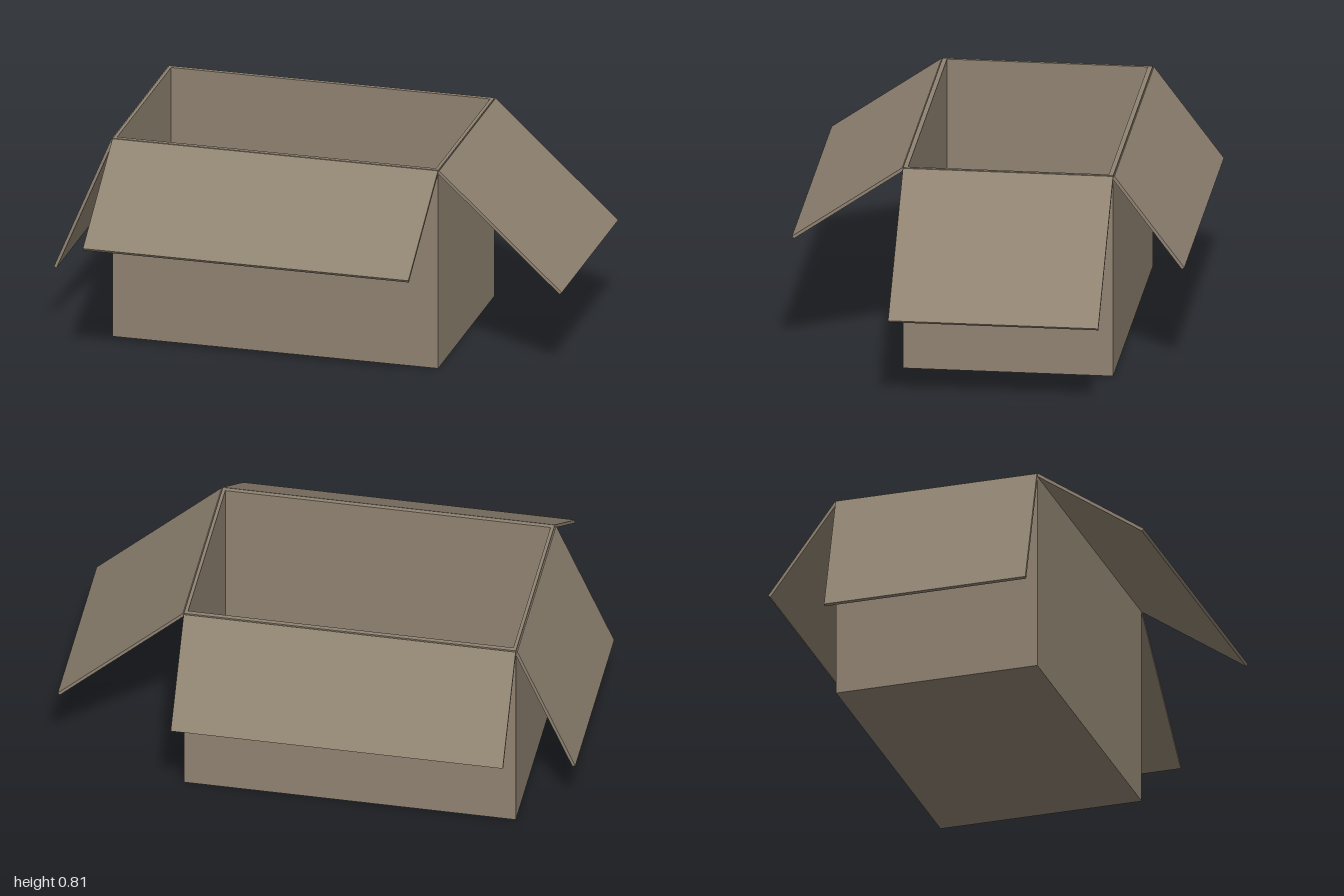
import * as THREE from 'three';

const LEFT = 0.51, RIGHT = -0.775, FRONT = 0.325, BACK = -0.48, HEIGHT = 0.807;
const WALL_X = 0.013, WALL_Z = 0.018, CARD = 0.012;

export function createModel() {
  const model = new THREE.Group();
  model.name = 'openCardboardBox';
  const card = new THREE.MeshStandardMaterial({ color: 0x8f8271 });
  const width = LEFT - RIGHT, depth = FRONT - BACK;
  const cx = (LEFT + RIGHT) / 2, cz = (FRONT + BACK) / 2;

  function add(name, geometry, x, y, z) {
    const mesh = new THREE.Mesh(geometry, card);
    mesh.name = name;
    mesh.position.set(x, y, z);
    model.add(mesh);
    return mesh;
  }

  // Four walls as one hollow sleeve
  const rect = (Type, w, d) => new Type([
    new THREE.Vector2(-w / 2, -d / 2), new THREE.Vector2(w / 2, -d / 2),
    new THREE.Vector2(w / 2, d / 2), new THREE.Vector2(-w / 2, d / 2),
  ]);
  const outline = rect(THREE.Shape, width, depth);
  outline.holes.push(rect(THREE.Path, width - 2 * WALL_X, depth - 2 * WALL_Z));
  const sleeve = new THREE.ExtrudeGeometry(outline, { depth: HEIGHT, bevelEnabled: false });
  sleeve.rotateX(-Math.PI / 2);
  add('walls', sleeve, cx, 0, cz);

  // Floor, fitted between the walls
  add('floor', new THREE.BoxGeometry(width - 2 * WALL_X, CARD, depth - 2 * WALL_Z), cx, CARD / 2, cz);

  // Flap hanging from a top edge: reaches out and drops, with its free edge slid sideways by skew
  function flap(name, x, z, turn, span, reach, drop, skew = 0) {
    const length = Math.hypot(reach, drop);
    const geometry = new THREE.BoxGeometry(length, CARD, span);
    geometry.translate(length / 2, 0, 0);
    const p = geometry.attributes.position;
    for (let i = 0; i < p.count; i++) p.setZ(i, p.getZ(i) + skew * p.getX(i) / length);
    geometry.computeVertexNormals();
    geometry.rotateZ(-Math.atan2(drop, reach));
    add(name, geometry, x, HEIGHT - CARD / 2, z).rotation.y = turn;
  }
  flap('leftFlap', LEFT, cz, 0, depth, 0.484, 0.447);
  flap('rightFlap', RIGHT, cz, Math.PI, depth, 0.22, 0.533, -0.025);
  flap('frontFlap', cx, FRONT, -Math.PI / 2, width, 0.422, 0.292);
  flap('backFlap', cx, BACK, Math.PI / 2, width, 0.268, 0.357);

  return model;
}
